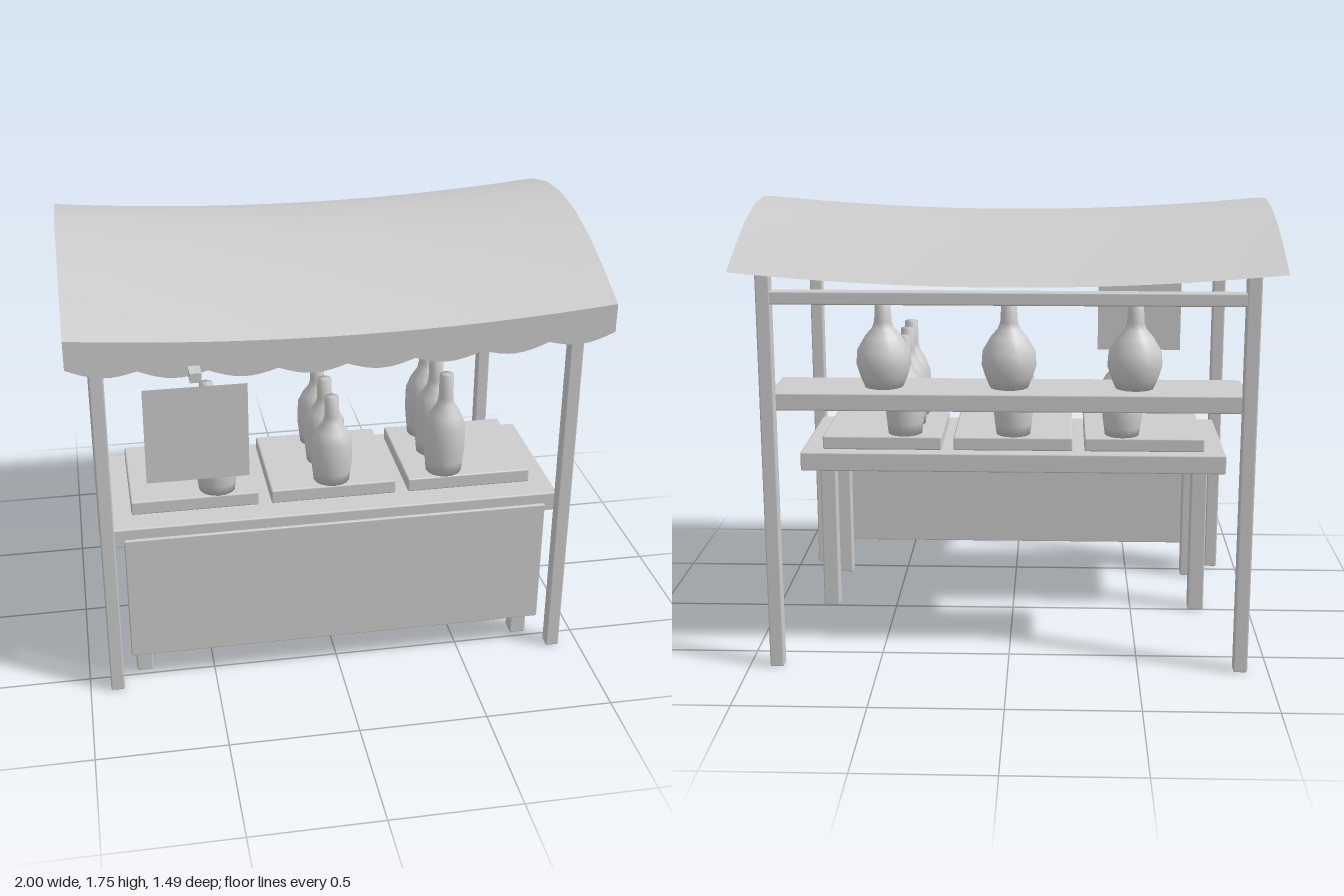
import * as THREE from 'three';
import { RoundedBoxGeometry } from 'three/addons/geometries/RoundedBoxGeometry.js';

export function createModel() {
  const model = new THREE.Group();
  model.name = 'marketStall';
  const grey = new THREE.MeshStandardMaterial({ color: 0xcccccc, side: THREE.DoubleSide });
  grey.name = 'light grey';

  function add(name, geometry, x = 0, y = 0, z = 0) {
    const mesh = new THREE.Mesh(geometry, grey);
    mesh.name = name;
    mesh.position.set(x, y, z);
    model.add(mesh);
    return mesh;
  }
  // Bevelled box given by its extents on each axis
  function box(name, [x0, x1], [y0, y1], [z0, z1], bevel = 0.007) {
    const geometry = new RoundedBoxGeometry(x1 - x0, y1 - y0, z1 - z0, 1, bevel);
    return add(name, geometry, (x0 + x1) / 2, (y0 + y1) / 2, (z0 + z1) / 2);
  }

  // Corner posts and table legs
  for (const s of [-1, 1]) {
    const post = [s * 0.893 - 0.027, s * 0.893 + 0.027];
    box('frontPost', post, [0, 1.54], [0.538, 0.592]);
    box('backPost', post, [0, 1.54], [-0.652, -0.598]);
    const leg = [s * 0.777 - 0.033, s * 0.777 + 0.033];
    box('frontLeg', leg, [0, 0.63], [0.412, 0.478]);
    box('backLeg', leg, [0, 0.63], [-0.004, 0.062]);
  }

  // Cross beams under the canopy
  box('frontBeam', [-0.88, 0.88], [1.42, 1.47], [0.54, 0.59]);
  box('backBeam', [-0.88, 0.88], [1.42, 1.47], [-0.65, -0.6]);

  // Counter, front panel and back shelf
  box('counter', [-0.88, 0.88], [0.62, 0.7], [-0.072, 0.54]);
  box('frontPanel', [-0.83, 0.83], [0.127, 0.655], [0.497, 0.552], 0.005);
  box('shelf', [-0.89, 0.89], [1.012, 1.08], [-0.61, -0.332]);

  // Lathe profiles: [radius, height]
  const lathe = (points) => new THREE.LatheGeometry(points.map(([r, y]) => new THREE.Vector2(r, y)), 16);
  const bottle = lathe([[0, 0], [0.071, 0], [0.076, 0.05], [0.082, 0.11], [0.08, 0.2],
    [0.06, 0.25], [0.035, 0.29], [0.029, 0.32], [0.028, 0.414], [0, 0.414]]);
  const jar = lathe([[0, 0], [0.073, 0], [0.09, 0.04], [0.104, 0.085], [0.1, 0.14],
    [0.068, 0.195], [0.042, 0.225], [0.033, 0.25], [0.028, 0.34], [0, 0.34]]);

  // Three trays of bottles, taller towards the left, with a jar behind each
  [-1, 0, 1].forEach((column, i) => {
    const x = column * 0.545;
    box('tray', [x - 0.248, x + 0.248], [0.7, 0.757], [-0.022, 0.438]);
    for (const z of [0.375, 0.209, 0.043]) {
      add('bottle', bottle, column * 0.453, 0.76, z).scale.y = [0.712, 0.856, 1][i];
    }
    add('jar', jar, column * 0.475, 1.08, -0.475);
  });

  // Canopy: arched from front to back, sagging along its length
  const sag = (x) => 0.05 * (1 - x * x);
  const canopy = new THREE.PlaneGeometry(2, 1.425, 24, 8).rotateX(-Math.PI / 2);
  const p = canopy.attributes.position;
  for (let i = 0; i < p.count; i++) {
    const arch = Math.cos((p.getZ(i) / 0.7125) * Math.PI / 2);
    p.setY(i, 1.553 + 0.197 * arch - sag(p.getX(i)));
  }
  canopy.computeVertexNormals();
  add('canopy', canopy, 0, 0, -0.0325);

  // Scalloped valance hanging from the front edge
  const valance = new THREE.PlaneGeometry(2, 1, 64, 1);
  const v = valance.attributes.position;
  for (let i = 0; i < v.count; i++) {
    const x = v.getX(i);
    const drop = v.getY(i) < 0 ? 0.11 + 0.027 * Math.abs(Math.sin(x * 4 * Math.PI)) : 0;
    v.setY(i, 1.553 - sag(x) - drop);
  }
  add('valance', valance, 0, 0, 0.68);

  // Peg and hanging board
  add('signPeg', new THREE.BoxGeometry(0.042, 0.036, 0.18), -0.551, 1.41, 0.657);
  add('signBoard', new THREE.PlaneGeometry(0.375, 0.372), -0.552, 1.17, 0.703);

  return model;
}
